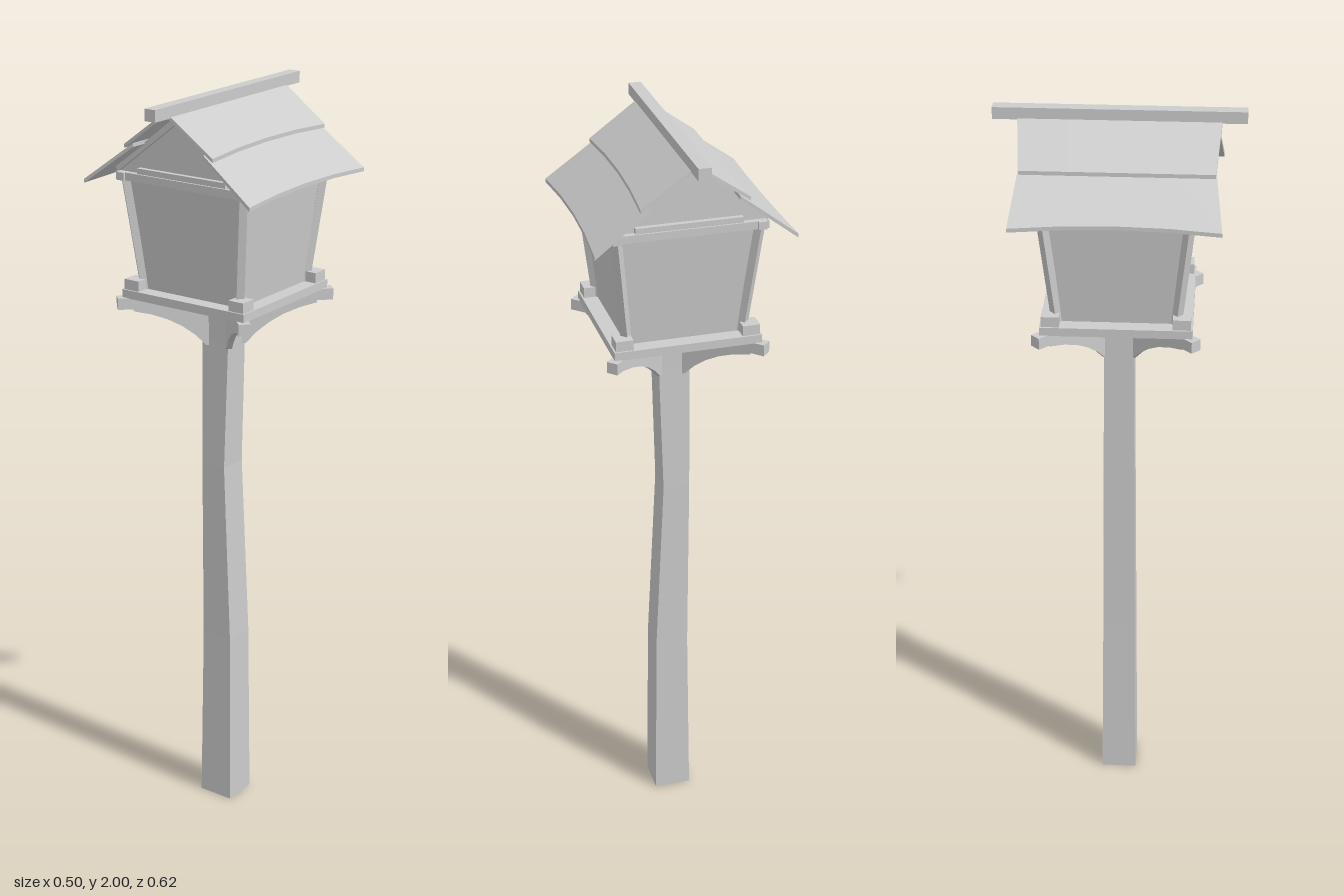
import * as THREE from 'three';

const mat = new THREE.MeshStandardMaterial({ color: 0xcccccc, flatShading: true });

function add(parent, name, geometry, x = 0, y = 0, z = 0) {
  const mesh = new THREE.Mesh(geometry, mat);
  mesh.name = name;
  mesh.position.set(x, y, z);
  parent.add(mesh);
  return mesh;
}

// Moves every vertex of a geometry by a rule
function warp(geometry, rule) {
  const p = geometry.attributes.position;
  const v = new THREE.Vector3();
  for (let i = 0; i < p.count; i++) {
    rule(v.fromBufferAttribute(p, i));
    p.setXYZ(i, v.x, v.y, v.z);
  }
  geometry.computeVertexNormals();
  return geometry;
}

// Square bar between two points
function bar(parent, name, a, b, width, height = width) {
  const from = new THREE.Vector3(...a), to = new THREE.Vector3(...b);
  const mesh = add(parent, name, new THREE.BoxGeometry(width, height, from.distanceTo(to)));
  mesh.position.copy(from).lerp(to, 0.5);
  mesh.lookAt(to);
  return mesh;
}

// Hand-hewn post: rows of [y, left x, right x, half depth]
function buildPost(group) {
  const rows = [
    [0, -0.05, 0.05, 0.048], [0.5, -0.043, 0.046, 0.044],
    [1, -0.047, 0.024, 0.041], [1.35, -0.047, 0.035, 0.038], [1.475, -0.047, 0.036, 0.038],
  ];
  const n = rows.length - 1;
  add(group, 'post', warp(new THREE.BoxGeometry(1, 1, 1, 1, n, 1), (v) => {
    const [y, left, right, depth] = rows[Math.round((v.y + 0.5) * n)];
    v.set(v.x < 0 ? left : right, y, Math.sign(v.z) * depth);
  }));
}

// Diagonal cross beams with a curved bracket under each arm
function buildSupports(group) {
  const shape = new THREE.Shape();
  shape.moveTo(0.02, 1.446);
  shape.lineTo(0.02, 1.335);
  shape.lineTo(0.052, 1.335);
  shape.quadraticCurveTo(0.12, 1.415, 0.24, 1.436);
  shape.lineTo(0.24, 1.446);
  const bracketGeometry = new THREE.ExtrudeGeometry(shape, { depth: 0.016, bevelEnabled: false, curveSegments: 5 });
  bracketGeometry.translate(0, 0, -0.008);
  for (let i = 0; i < 4; i++) {
    const arm = new THREE.Group();
    arm.name = 'supportArm';
    arm.rotation.y = Math.PI / 4 + i * Math.PI / 2;
    add(arm, 'bracket', bracketGeometry);
    add(arm, 'crossBeam', new THREE.BoxGeometry(0.282, 0.03, 0.03), 0.141, 1.459, 0);
    group.add(arm);
  }
}

// Flared box house with corner posts and top rails
function buildHouse(group) {
  add(group, 'platform', new THREE.BoxGeometry(0.38, 0.022, 0.38), 0, 1.484, 0);
  const walls = new THREE.CylinderGeometry(0.178 * Math.SQRT2, 0.15 * Math.SQRT2, 0.295, 4);
  walls.rotateY(Math.PI / 4);
  add(group, 'walls', walls, 0, 1.642, 0);
  for (const sx of [-1, 1]) {
    for (const sz of [-1, 1]) {
      bar(group, 'cornerPost', [sx * 0.148, 1.49, sz * 0.148], [sx * 0.18, 1.79, sz * 0.18], 0.02);
      add(group, 'cornerBlock', new THREE.BoxGeometry(0.045, 0.028, 0.045), sx * 0.163, 1.508, sz * 0.163);
    }
    add(group, 'topRail', new THREE.BoxGeometry(0.4, 0.02, 0.022), 0, 1.792, sx * 0.182);
    add(group, 'topRail', new THREE.BoxGeometry(0.022, 0.02, 0.4), sx * 0.182, 1.792, 0);
  }
}

// Thin plank sloping from (xIn, yIn) to (xOut, yOut), with a bowed lower edge
function plank(group, name, side, [xIn, yIn, zIn], [xOut, yOut, zOut], bow) {
  const thickness = 0.01;
  const geometry = warp(new THREE.BoxGeometry(1, 1, 1, 1, 1, 4), (v) => {
    const t = side * v.x + 0.5;
    const inset = bow * t * (1 - 4 * v.z * v.z);
    v.set(
      side * (xIn + (xOut - xIn) * t - inset),
      yIn + (yOut - yIn) * t + inset * 0.7 + (v.y - 0.5) * thickness,
      v.z * 2 * (zIn + (zOut - zIn) * t),
    );
  });
  add(group, name, geometry);
}

function buildRoof(group) {
  for (const side of [-1, 1]) {
    const seam = side < 0 ? 0.237 : 0.246;
    plank(group, 'upperRoof', side, [0, 1.984, 0.25], [0.137, 1.887, seam], side < 0 ? 0 : 0.01);
    plank(group, 'lowerRoof', side, [0.11, 1.892, seam], [0.252, 1.787, 0.256], 0.011);
  }
  add(group, 'ridgeBeam', new THREE.BoxGeometry(0.032, 0.03, 0.62), 0, 1.985, 0);

  // Gable panels with rafters and a tie beam at each end
  const gable = new THREE.Shape();
  gable.moveTo(-0.2, 1.79);
  gable.lineTo(0.2, 1.79);
  gable.lineTo(0.2, 1.81);
  gable.lineTo(0, 1.968);
  gable.lineTo(-0.2, 1.81);
  const panel = new THREE.ExtrudeGeometry(gable, { depth: 0.012, bevelEnabled: false });
  for (const end of [-1, 1]) {
    add(group, 'gablePanel', panel, 0, 0, end * 0.172 - 0.006);
    for (const side of [-1, 1]) {
      bar(group, 'rafter', [0, 1.962, end * 0.183], [side * 0.2, 1.808, end * 0.183], 0.014);
    }
    add(group, 'tieBeam', new THREE.BoxGeometry(0.27, 0.014, 0.016), 0, 1.81, end * 0.183);
  }
}

export function createModel() {
  const group = new THREE.Group();
  group.name = 'postLantern';
  buildPost(group);
  buildSupports(group);
  buildHouse(group);
  buildRoof(group);
  return group;
}
